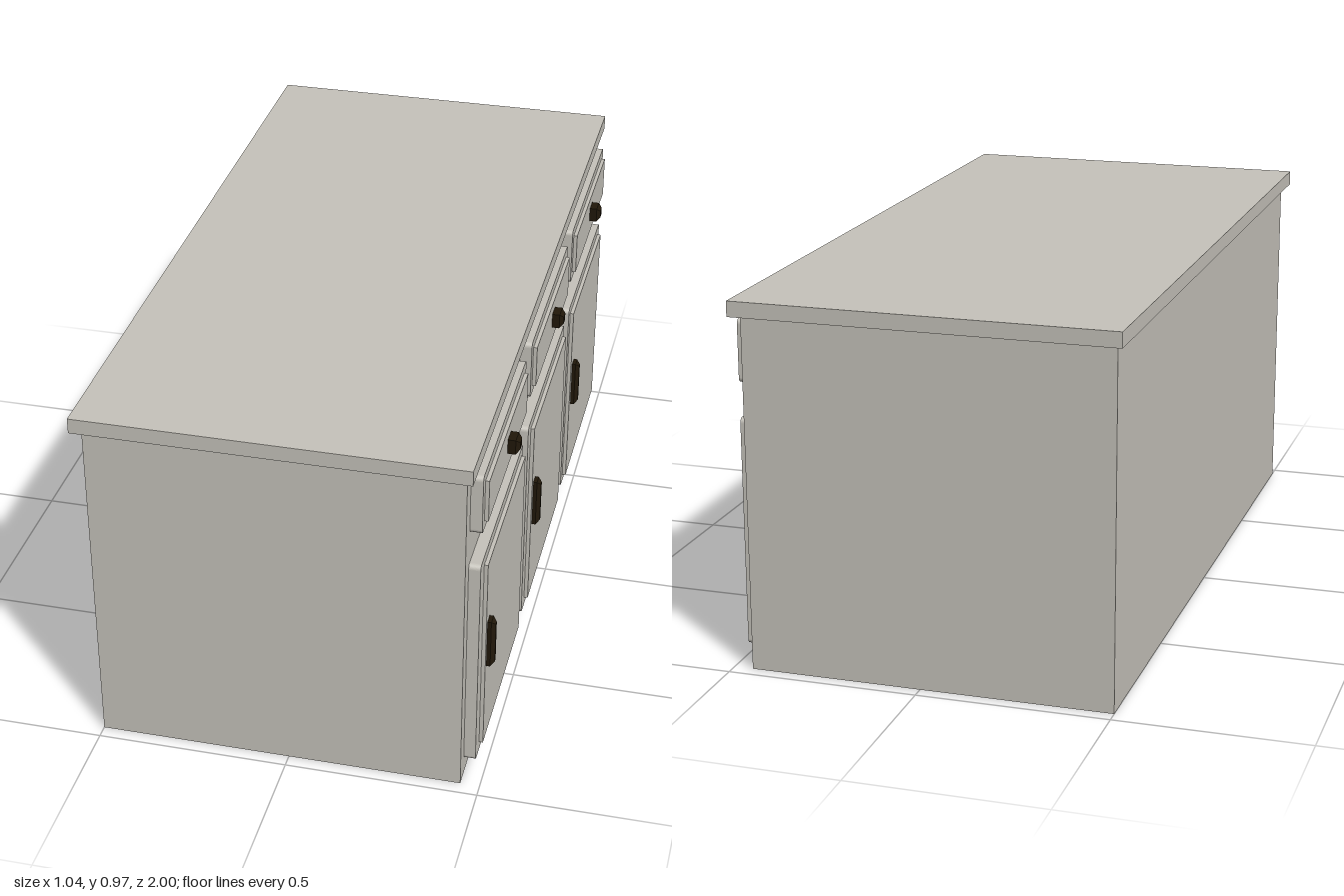
import * as THREE from 'three';

const paint = new THREE.MeshStandardMaterial({ color: 0xc6c3bb });
paint.name = 'warm grey paint';
const bronze = new THREE.MeshStandardMaterial({ color: 0x21180a });
bronze.name = 'dark bronze';

function addMesh(parent, name, geometry, material) {
  const mesh = new THREE.Mesh(geometry, material);
  mesh.name = name;
  parent.add(mesh);
  return mesh;
}

// Box given by its limits on each axis
function box(x0, x1, y0, y1, z0, z1) {
  return new THREE.BoxGeometry(x1 - x0, y1 - y0, z1 - z0)
    .translate((x0 + x1) / 2, (y0 + y1) / 2, (z0 + z1) / 2);
}

// Board facing +x whose outline has rounded corners
function roundedBoard(x0, x1, y0, y1, z0, z1, r) {
  const s = new THREE.Shape();
  const a = -z1, b = -z0;
  s.moveTo(a + r, y0);
  s.lineTo(b - r, y0);
  s.absarc(b - r, y0 + r, r, -Math.PI / 2, 0);
  s.lineTo(b, y1 - r);
  s.absarc(b - r, y1 - r, r, 0, Math.PI / 2);
  s.lineTo(a + r, y1);
  s.absarc(a + r, y1 - r, r, Math.PI / 2, Math.PI);
  s.lineTo(a, y0 + r);
  s.absarc(a + r, y0 + r, r, Math.PI, Math.PI * 1.5);
  return new THREE.ExtrudeGeometry(s, { depth: x1 - x0, bevelEnabled: false, curveSegments: 5 })
    .rotateY(Math.PI / 2)
    .translate(x0, 0, 0);
}

// Block facing +x with its front edges chamfered by c
function chamferedBlock(depth, height, width, c) {
  const g = new THREE.BoxGeometry(depth, height, width, 2, 1, 1).toNonIndexed();
  const p = g.attributes.position;
  for (let i = 0; i < p.count; i++) {
    const x = p.getX(i);
    if (Math.abs(x) < 1e-6) p.setX(i, depth / 2 - c);
    else if (x > 0) {
      p.setY(i, p.getY(i) - Math.sign(p.getY(i)) * c);
      p.setZ(i, p.getZ(i) - Math.sign(p.getZ(i)) * c);
    }
  }
  g.computeVertexNormals();
  return g;
}

export function createModel() {
  const model = new THREE.Group();
  model.name = 'cabinet';

  // Carcass and worktop
  addMesh(model, 'cabinetBody', box(-0.5, 0.45, 0, 0.93, -0.965, 0.965), paint);
  addMesh(model, 'worktop', box(-0.52, 0.47, 0.93, 0.97, -1, 1), paint);

  // Three bays, each a drawer over a door; the limits run along z
  const bays = [
    { center: 0.64, door: [0.36, 0.925], panel: [0.38, 0.88] },
    { center: 0, door: [-0.28, 0.285], panel: [-0.255, 0.245] },
    { center: -0.64, door: [-0.92, -0.362], panel: [-0.893, -0.39] },
  ];
  bays.forEach(({ center, door, panel }, i) => {
    const drawer = new THREE.Group();
    drawer.name = `drawer${i + 1}`;
    addMesh(drawer, 'drawerFront', roundedBoard(0.45, 0.48, 0.741, 0.904, center - 0.279, center + 0.281, 0.013), paint);
    addMesh(drawer, 'drawerPanel', box(0.48, 0.49, 0.765, 0.88, center - 0.253, center + 0.256), paint);
    addMesh(drawer, 'drawerKnob', chamferedBlock(0.03, 0.04, 0.042, 0.01), bronze)
      .position.set(0.505, 0.83, center);

    const doorGroup = new THREE.Group();
    doorGroup.name = `door${i + 1}`;
    addMesh(doorGroup, 'doorFrame', roundedBoard(0.45, 0.48, 0.047, 0.65, door[0], door[1], 0.013), paint);
    addMesh(doorGroup, 'doorPanel', box(0.48, 0.49, 0.072, 0.625, panel[0], panel[1]), paint);
    addMesh(doorGroup, 'doorHandle', chamferedBlock(0.02, 0.136, 0.03, 0.01), bronze)
      .position.set(0.5, 0.377, center + 0.213);
    model.add(drawer, doorGroup);
  });

  return model;
}
